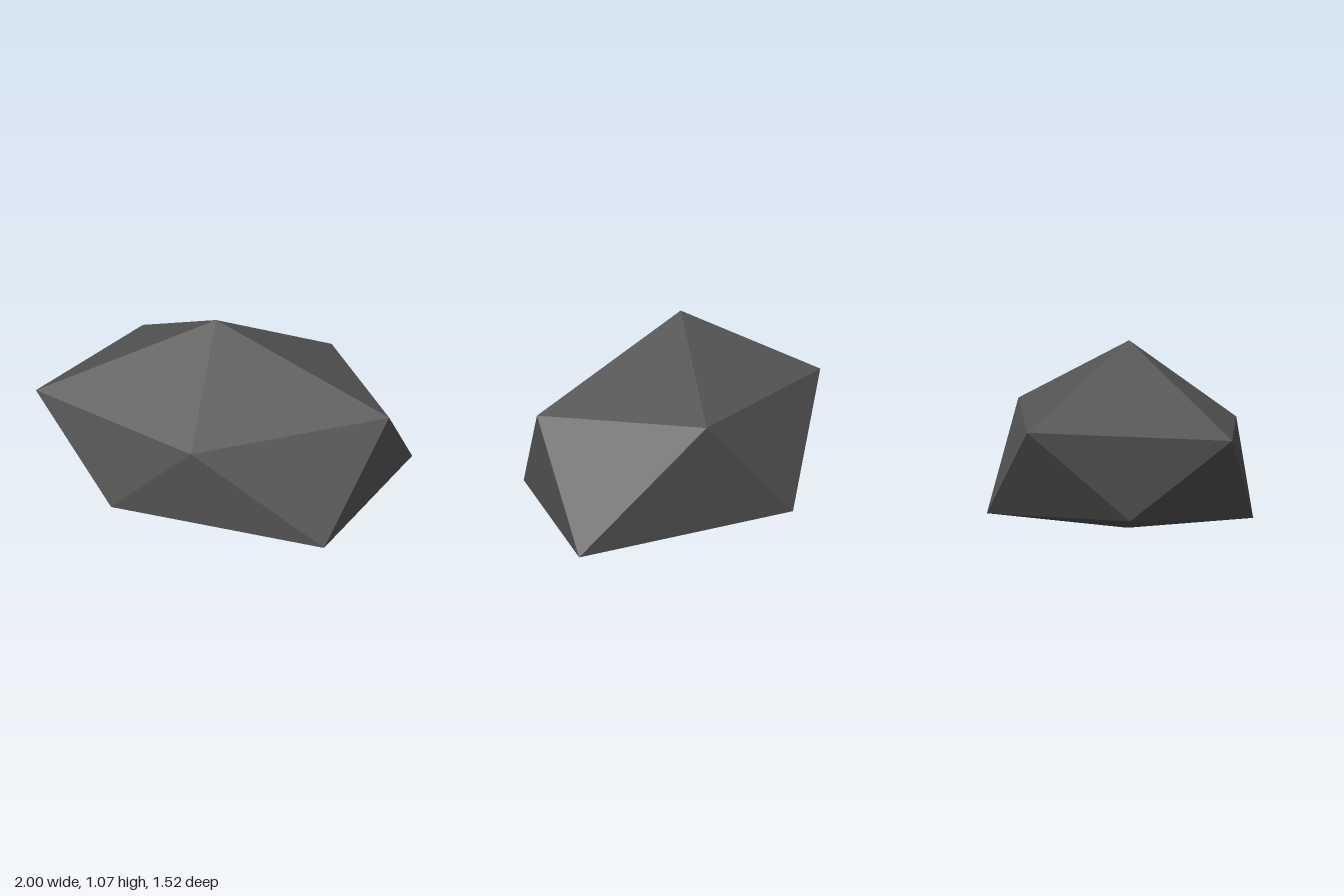
import * as THREE from 'three';

export function createModel() {
  const stone = new THREE.MeshStandardMaterial({ color: 0x555555, flatShading: true });
  stone.name = 'dark stone';

  // Two staggered five-point rings between a peak and a base point
  const peak = [-0.08, 1.07, -0.03];
  const upper = [[-1, 0.73, -0.15], [-0.33, 0.66, 0.49], [0.66, 0.7, 0.49], [0.66, 0.7, -0.3], [-0.36, 0.725, -0.76]];
  const lower = [[-0.71, 0.24, 0.27], [0.26, 0.18, 0.76], [1, 0.19, 0.19], [0.3, 0.165, -0.68], [-0.61, 0.32, -0.39]];
  const base = [0.08, 0, 0.07];

  // Cap, zigzag band and underside, one fifth at a time
  const corners = [];
  for (let i = 0; i < 5; i++) {
    const j = (i + 1) % 5;
    corners.push(
      peak, upper[i], upper[j],
      upper[i], lower[i], upper[j],
      upper[j], lower[i], lower[j],
      base, lower[j], lower[i]
    );
  }
  const geometry = new THREE.BufferGeometry();
  geometry.setAttribute('position', new THREE.Float32BufferAttribute(corners.flat(), 3));
  geometry.computeVertexNormals();

  const rock = new THREE.Mesh(geometry, stone);
  rock.name = 'rock';

  const group = new THREE.Group();
  group.name = 'boulder';
  group.add(rock);
  return group;
}
